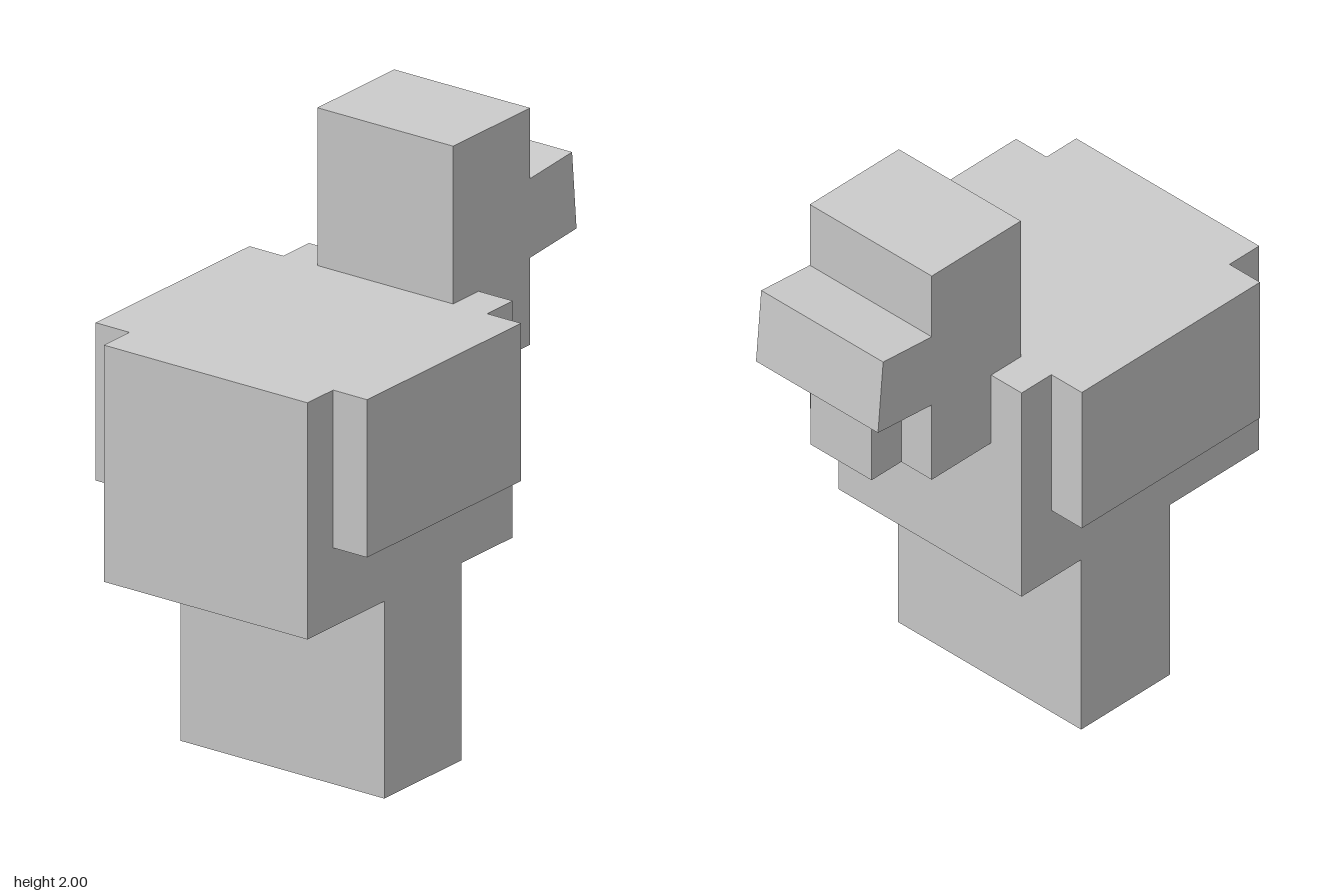
import * as THREE from 'three';

// Blocky bird facing -z; all sizes are multiples of one block unit.
const U = 2 / 15;

export function createModel() {
  const model = new THREE.Group();
  model.name = 'blockBird';
  const material = new THREE.MeshStandardMaterial({ color: 0xcccccc, flatShading: true });

  // Box sized in block units, placed by its centre
  function block(name, [w, h, d], [x, y, z]) {
    const mesh = new THREE.Mesh(new THREE.BoxGeometry(w * U, h * U, d * U), material);
    mesh.name = name;
    mesh.position.set(x, y, z);
    model.add(mesh);
    return mesh;
  }

  block('body', [6, 6, 8], [0, 8 * U, 0.254]);
  block('head', [4, 6, 3], [0, 12 * U, -0.346]);

  // Beak tips slightly upward, with the wattle hanging below it
  const beak = block('beak', [4, 2, 2], [0, 1.636, -0.643]);
  beak.rotation.x = THREE.MathUtils.degToRad(5);
  block('wattle', [2, 2, 2], [0, 10 * U, -0.546]);

  // Mirrored wings and legs
  for (const [side, s] of [['left', 1], ['right', -1]]) {
    block(side + 'Wing', [1, 4, 6], [s * 3.5 * U, 9 * U, 0.254]);
    block(side + 'Leg', [3, 5, 3], [s * 1.5 * U, 2.5 * U, 0.188]);
  }
  return model;
}
